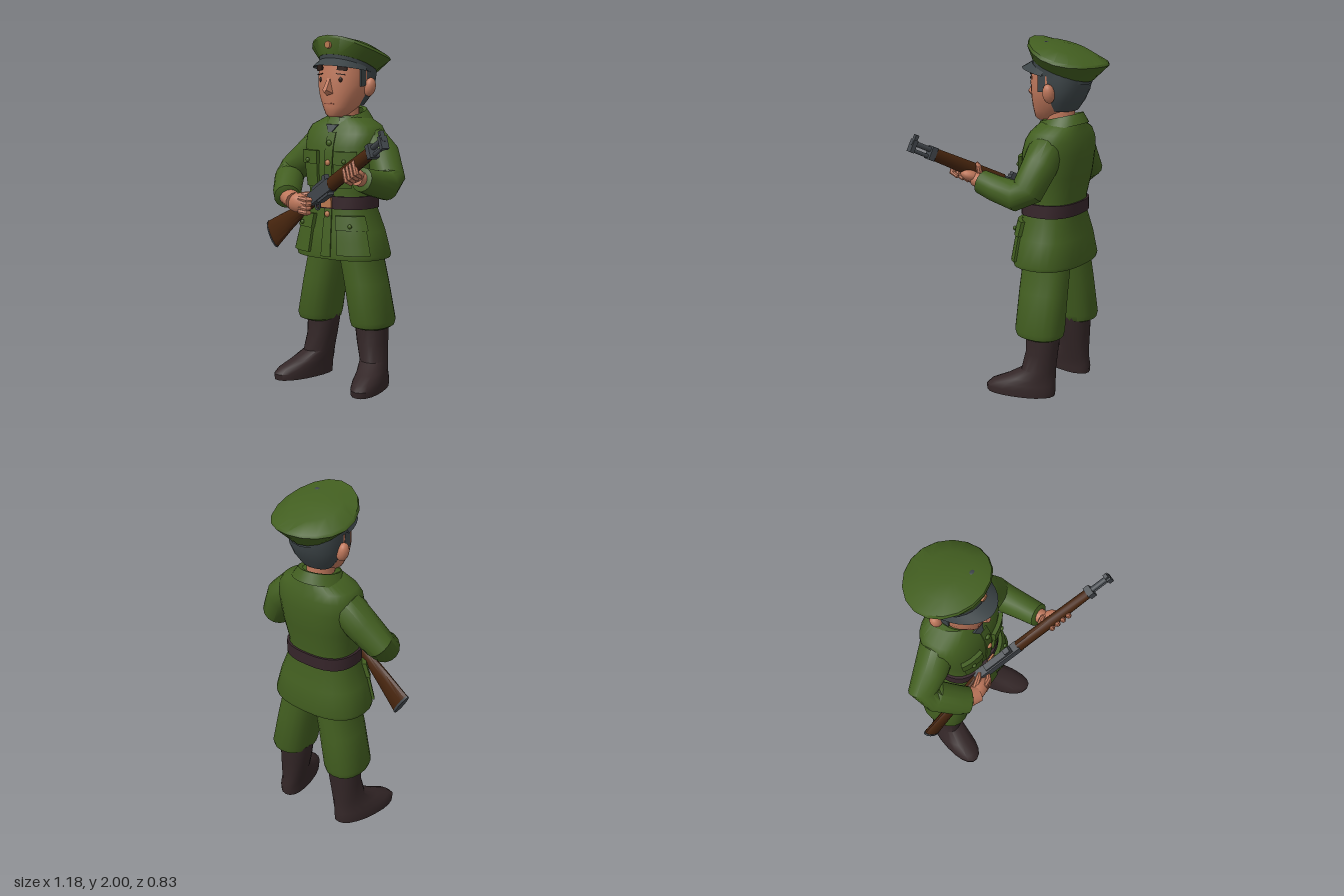
import * as THREE from 'three';
import { toCreasedNormals } from 'three/addons/utils/BufferGeometryUtils.js';
import { ConvexGeometry } from 'three/addons/geometries/ConvexGeometry.js';

const V = (x, y, z) => new THREE.Vector3(x, y, z);
const mat = (name, color, side = THREE.FrontSide) => {
  const m = new THREE.MeshStandardMaterial({ color, side });
  m.name = name;
  return m;
};
const CX = -0.083; // body centre line

// Skin over a list of rings; closed rings get end caps
function loft(rings, closed = true, crease = 0.7) {
  const n = rings[0].length, pos = rings.flat().flatMap(p => [p.x, p.y, p.z]), idx = [];
  for (let i = 0; i < rings.length - 1; i++)
    for (let j = 0; j < (closed ? n : n - 1); j++) {
      const k = (j + 1) % n, a = i * n + j, b = i * n + k;
      idx.push(a, b, b + n, a, b + n, a + n);
    }
  if (closed) [0, rings.length - 1].forEach((i, end) => {
    const c = rings[i].reduce((s, p) => s.add(p), V(0, 0, 0)).divideScalar(n);
    const ci = pos.length / 3;
    pos.push(c.x, c.y, c.z);
    for (let j = 0; j < n; j++) {
      const a = i * n + j, b = i * n + (j + 1) % n;
      idx.push(ci, end ? a : b, end ? b : a);
    }
  });
  const g = new THREE.BufferGeometry();
  g.setAttribute('position', new THREE.Float32BufferAttribute(pos, 3));
  g.setIndex(idx);
  return toCreasedNormals(g, crease);
}
const ring = (n, f, a0 = 0, a1 = Math.PI * 2, open = false) =>
  Array.from({ length: n }, (_, j) => {
    const a = a0 + (a1 - a0) * j / (open ? n - 1 : n);
    return f(Math.sin(a), Math.cos(a));
  });
const sp = (t, e) => Math.sign(t) * Math.abs(t) ** e;

// Upright loft; rows are [y, x centre, half width, front z, back z, x skew]
const upright = (rows, n = 20, e = 1) => loft(rows.map(([y, xc, hx, zf, zb, k = 0]) =>
  ring(n, (s, c) => {
    const dz = sp(c, e) * (zf - zb) / 2;
    return V(CX + xc + hx * sp(s, e) + k * dz, y, (zf + zb) / 2 + dz);
  })));

// Limb along points [x, y, z, radius up, radius across]
function limb(pts, n = 14) {
  const c = pts.map(p => V(p[0], p[1], p[2]));
  let v = null;
  return loft(pts.map((p, i) => {
    const t = c[Math.min(i + 1, c.length - 1)].clone().sub(c[Math.max(i - 1, 0)]).normalize();
    v = v || t.clone().cross(V(0, 1, 0));
    v = v.clone().addScaledVector(t, -v.dot(t)).normalize();
    const u = v.clone().cross(t);
    return ring(n, (s, k) => c[i].clone().addScaledVector(u, k * p[3]).addScaledVector(v, s * (p[4] ?? p[3])));
  }));
}

// Jacket profile: [y, half width, front z, back z]
const COAT = [[0.745, 0.284, 0.065, -0.315], [0.765, 0.289, 0.068, -0.32], [0.9, 0.253, 0.052, -0.3],
  [1.03, 0.203, 0.032, -0.272], [1.12, 0.197, 0.03, -0.274], [1.25, 0.222, 0.036, -0.3],
  [1.38, 0.24, 0.028, -0.312], [1.45, 0.24, 0.004, -0.305], [1.495, 0.215, -0.02, -0.292], [1.55, 0.1, -0.06, -0.275]];
function coatPoint(a, y, off = 0) {
  let i = 0;
  while (i < COAT.length - 2 && y > COAT[i + 1][0]) i++;
  const p = COAT[i], q = COAT[i + 1], t = (y - p[0]) / (q[0] - p[0]);
  const [, hx, zf, zb] = p.map((w, k) => w + (q[k] - w) * t);
  return V(CX + (hx + off) * sp(Math.sin(a), 0.8), y, (zf + zb) / 2 + ((zf - zb) / 2 + off) * sp(Math.cos(a), 0.8));
}
// Raised cloth panel that follows the jacket
function panel(a0, a1, y0, y1, off, rows = 5) {
  const steps = n => [0, ...Array.from({ length: n + 1 }, (_, i) => i / n), 1];
  const us = steps(5), vs = steps(rows);
  return loft(vs.map((v, i) => us.map((u, j) => {
    const rim = i === 0 || j === 0 || i === vs.length - 1 || j === us.length - 1;
    return coatPoint(a0 + (a1 - a0) * u, y0 + (y1 - y0) * v, rim ? -0.01 : off);
  })), false, 0.5);
}

export function createModel() {
  const model = new THREE.Group();
  const green = mat('uniformGreen', 0x425e20, THREE.DoubleSide), skin = mat('skin', 0xbf785c);
  const grey = mat('slateGrey', 0x3d4548, THREE.DoubleSide), boot = mat('bootBrown', 0x332627);
  const leather = mat('beltBrown', 0x36252a), wood = mat('wood', 0x47250e), metal = mat('gunMetal', 0x42474c);
  const copper = mat('copper', 0xb87850), dark = mat('darkBrown', 0x2a1a14), lip = mat('lip', 0x9c5845);
  const add = (name, geo, m, p, parent = model) => {
    const mesh = new THREE.Mesh(geo, m);
    mesh.name = name;
    if (p) mesh.position.set(...p);
    parent.add(mesh);
    return mesh;
  };
  const ball = (name, m, p, s, rot = [0, 0, 0]) => {
    const o = add(name, new THREE.SphereGeometry(1, 14, 10), m, p);
    o.scale.set(...s);
    o.rotation.set(...rot);
    return o;
  };

  // Jacket, belt and front closing
  add('jacket', upright(COAT.map(([y, h, f, b]) => [y, 0, h, f, b]), 28, 0.8), green);
  add('belt', upright([[1.03, 0, 0.213, 0.044, -0.283], [1.102, 0, 0.211, 0.044, -0.285]], 28, 0.8), leather);
  add('buckle', new THREE.BoxGeometry(0.07, 0.06, 0.012), copper, [CX + 0.01, 1.066, 0.047]);
  add('frontPlacket', panel(-0.02, 0.12, 0.76, 1.46, 0.007, 14), green);
  [[1.4, green], [1.29, copper], [1, copper]].forEach(([y, m]) =>
    ball('jacketButton', m, coatPoint(0.03, y, 0.01).toArray(), [0.017, 0.017, 0.012]));
  for (const s of [-1, 1]) {
    const span = (a, b) => s > 0 ? [a, b] : [-b, -a];
    add('chestPocket', panel(...span(0.18, 0.74), 1.15, 1.33, 0.014), green);
    add('chestPocketFlap', panel(...span(0.16, 0.77), 1.28, 1.355, 0.022), green);
    add('skirtPocket', panel(...span(0.26, 1.1), 0.775, 0.96, 0.014), green);
    add('skirtPocketFlap', panel(...span(0.24, 1.15), 0.915, 0.995, 0.022), green);
    ball('pocketButton', green, coatPoint(s * 0.44, 1.3, 0.026).toArray(), [0.013, 0.013, 0.01]);
    ball('pocketButton', green, coatPoint(s * 0.62, 0.94, 0.026).toArray(), [0.013, 0.013, 0.01]);
  }

  // Collar with open wings (rows: half width, half depth, y, drop, front gap) and shirt
  add('collar', loft([[0.15, 0.15, 1.508, 0.035, 0.3], [0.108, 0.122, 1.568, 0.03, 0.3], [0.085, 0.1, 1.56, 0.03, 0.45]]
    .map(([hx, hz, y, d, gap]) => ring(24, (s, c) => V(CX + hx * s, y - d * c, -0.158 + hz * c), gap, Math.PI * 2 - gap, true)), false), green);
  add('shirtFront', new ConvexGeometry([V(CX - 0.05, 1.505, -0.05), V(CX + 0.05, 1.505, -0.05), V(CX, 1.44, 0.014),
    V(CX - 0.04, 1.5, -0.016), V(CX + 0.04, 1.5, -0.016), V(CX, 1.46, -0.05)]), grey);

  // Legs and boots
  for (const s of [-1, 1]) {
    const leg = [[0.34, 0.19, 0.09, -0.04, -0.25], [0.352, 0.192, 0.108, -0.012, -0.275],
      [0.385, 0.192, 0.117, 0, -0.284], [0.6, 0.15, 0.114, 0, -0.278], [0.72, 0.122, 0.113, 0, -0.275], [0.82, 0.11, 0.117, 0, -0.27]];
    add('trouserLeg', upright(leg.map(([y, xc, ...r]) => [y, s * xc + 0.007, ...r]), 18, 0.85), green);
    const k = s * 0.22;
    add('boot', upright([[0, s * 0.244, 0.086, 0.145, -0.24, k], [0.035, s * 0.244, 0.088, 0.15, -0.243, k],
      [0.065, s * 0.238, 0.085, 0.12, -0.24, k], [0.1, s * 0.222, 0.082, 0.04, -0.237, k], [0.15, s * 0.202, 0.078, -0.045, -0.236, k / 2],
      [0.25, s * 0.185, 0.086, -0.06, -0.242], [0.37, s * 0.174, 0.095, -0.06, -0.25]].map(([y, xc, ...r]) => [y, xc + 0.006, ...r]), 20, 0.9), boot);
  }

  // Sleeves
  add('rightSleeve', limb([[-0.2, 1.395, -0.155, 0.085], [-0.265, 1.385, -0.155, 0.1], [-0.355, 1.3, -0.135, 0.094],
    [-0.455, 1.222, -0.12, 0.084], [-0.438, 1.175, -0.06, 0.086], [-0.37, 1.105, 0.04, 0.082],
    [-0.335, 1.082, 0.08, 0.076], [-0.33, 1.078, 0.085, 0.05]], 16), green);
  add('leftSleeve', limb([[0.04, 1.4, -0.155, 0.085], [0.1, 1.39, -0.16, 0.1], [0.162, 1.33, -0.165, 0.098],
    [0.231, 1.205, -0.13, 0.092], [0.249, 1.173, -0.07, 0.083], [0.252, 1.2, 0.06, 0.073],
    [0.25, 1.225, 0.15, 0.067], [0.25, 1.227, 0.157, 0.045]], 16), green);

  // Neck, head and hair
  add('neck', upright([[1.48, 0, 0.07, -0.07, -0.23], [1.64, 0, 0.075, -0.07, -0.23]], 16), skin);
  add('head', upright([[1.542, 0, 0.035, -0.012, -0.1], [1.558, 0, 0.062, 0.002, -0.14], [1.6, 0, 0.094, 0.008, -0.21],
    [1.66, 0, 0.128, 0.012, -0.255], [1.72, 0, 0.145, 0.014, -0.285], [1.78, 0, 0.147, 0.012, -0.3],
    [1.86, 0, 0.144, 0, -0.3]], 24, 0.92), skin);
  add('hair', upright([[1.605, 0, 0.09, -0.12, -0.24], [1.66, 0, 0.128, -0.09, -0.277], [1.72, 0, 0.148, -0.065, -0.305],
    [1.78, 0, 0.153, -0.06, -0.318], [1.83, 0, 0.153, -0.06, -0.32]], 24, 0.92), grey);
  add('nose', new ConvexGeometry([V(CX - 0.009, 1.765, 0.009), V(CX + 0.009, 1.765, 0.009), V(CX - 0.028, 1.675, 0.008),
    V(CX + 0.028, 1.675, 0.008), V(CX - 0.014, 1.695, 0.052), V(CX + 0.014, 1.695, 0.052), V(CX, 1.68, 0.055), V(CX, 1.663, 0.03)]), skin);
  add('mouth', new THREE.BoxGeometry(0.065, 0.006, 0.008), lip, [CX, 1.618, 0.008]);
  for (const s of [-1, 1]) {
    ball('ear', skin, [CX + s * 0.155, 1.71, -0.165], [0.033, 0.054, 0.034], [0, 0, -s * 0.25]);
    add('sideburn', new THREE.BoxGeometry(0.012, 0.1, 0.045), grey, [CX + s * 0.143, 1.765, -0.115]);
    ball('eye', dark, [CX + s * 0.07, 1.752, -0.005], [0.011, 0.015, 0.007], [0, s * 0.4, 0]);
    const lid = add('eyelid', new THREE.BoxGeometry(0.055, 0.005, 0.008), dark, [CX + s * 0.072, 1.782, -0.004]);
    lid.rotation.set(0, s * 0.4, -s * 0.12);
    const brow = add('eyebrow', new THREE.BoxGeometry(0.058, 0.03, 0.009), dark, [CX + s * 0.078, 1.817, -0.009]);
    brow.rotation.set(0, s * 0.42, -s * 0.1);
  }

  // Peaked cap: rings are [half width, centre z, half depth, y, tilt, extra front rise]
  const capRing = ([hx, cz, hz, y, t, r = 0]) => ring(18, (s, c) => V(CX + hx * s, y + t * c + r * c * c, cz + hz * c));
  add('capBand', loft([[0.155, -0.16, 0.165, 1.798, 0.043], [0.157, -0.16, 0.168, 1.845, 0.06]].map(capRing)), grey);
  add('capCrown', loft([[0.16, -0.163, 0.172, 1.832, 0.062], [0.229, -0.197, 0.222, 1.884, 0.065, 0.036],
    [0.22, -0.197, 0.216, 1.902, 0.066, 0.031], [0.14, -0.19, 0.14, 1.945, 0.042], [0.05, -0.19, 0.05, 1.957, 0.014]].map(capRing)), green);
  add('capVisor', loft([[0.158, 0.168, 1.812, 0.06], [0.165, 0.24, 1.795, 0.037], [0.155, 0.165, 1.798, 0.045]].map(([hx, hz, y, t]) =>
    ring(15, (s, c) => V(CX + hx * s, y + t * c, -0.16 + hz * c), -1.4, 1.4, true)), false), grey);
  add('capBadge', new THREE.CylinderGeometry(0.019, 0.022, 0.014, 12), copper, [CX, 1.945, 0.02]).rotation.x = Math.PI / 2;
  ball('capSpot', grey, [-0.012, 1.966, -0.095], [0.025, 0.012, 0.018], [-0.25, 0, -0.2]);

  // Rifle, built along its own x axis
  const rifle = new THREE.Group();
  rifle.name = 'rifle';
  const ax = V(0.75, 0.39, 0.34).normalize(), az = ax.clone().cross(V(0, 1, 0)).normalize();
  rifle.quaternion.setFromRotationMatrix(new THREE.Matrix4().makeBasis(ax, az.clone().cross(ax), az));
  rifle.position.set(-0.178, 1.07, 0.05);
  model.add(rifle);
  const box = (name, m, x0, x1, y0, y1, w) =>
    add(name, new THREE.BoxGeometry(x1 - x0, y1 - y0, w), m, [(x0 + x1) / 2, (y0 + y1) / 2, 0], rifle);
  const rod = (name, m, x0, x1, y, r) =>
    add(name, new THREE.CylinderGeometry(r, r, x1 - x0, 10), m, [(x0 + x1) / 2, y, 0], rifle).rotation.z = Math.PI / 2;
  box('receiver', metal, -0.02, 0.28, -0.035, 0.035, 0.05);
  box('receiverTop', metal, 0.06, 0.24, 0.03, 0.055, 0.036);
  box('magazine', metal, 0.1, 0.24, -0.05, -0.03, 0.04);
  box('rearSight', metal, 0.2, 0.235, 0.05, 0.072, 0.03);
  add('triggerGuard', new THREE.TorusGeometry(0.03, 0.006, 6, 14), metal, [0.06, -0.045, 0], rifle);
  ball('boltKnob', metal, [-0.05, 1.145, 0.12], [0.014, 0.014, 0.014]);
  add('foreStock', limb([[0.275, 0, 0, 0.042, 0.03], [0.5, 0, 0, 0.04, 0.03], [0.77, 0, 0, 0.034, 0.026]], 12), wood, null, rifle);
  box('frontBand', metal, 0.75, 0.785, -0.037, 0.037, 0.056);
  rod('barrel', metal, 0.77, 0.905, 0.016, 0.015);
  rod('cleaningRod', metal, 0.77, 0.9, -0.022, 0.011);
  box('muzzleBlock', metal, 0.878, 0.903, -0.036, 0.034, 0.042);
  box('frontSight', metal, 0.88, 0.9, 0.03, 0.062, 0.024);
  add('buttStock', limb([[-0.54, 0.832, -0.028, 0.086, 0.025], [-0.4, 0.922, 0.002, 0.06, 0.026],
    [-0.27, 1.003, 0.028, 0.036, 0.026], [-0.16, 1.075, 0.05, 0.034, 0.025]], 12), wood);
  add('buttPlate', limb([[-0.548, 0.827, -0.0297, 0.087, 0.026], [-0.538, 0.8333, -0.0275, 0.088, 0.027]], 12), metal);

  // Hands
  add('leftWrist', limb([[0.25, 1.222, 0.13, 0.042], [0.252, 1.235, 0.2, 0.038]], 12), skin);
  ball('leftPalm', skin, [0.255, 1.25, 0.222], [0.06, 0.032, 0.052], [0, -0.4, 0.4]);
  add('rightWrist', limb([[-0.34, 1.085, 0.07, 0.052], [-0.27, 1.065, 0.1, 0.05]], 12), skin);
  ball('rightPalm', skin, [-0.25, 1.055, 0.09], [0.09, 0.056, 0.044], [0, 0, -0.1]);
  for (let i = 0; i < 4; i++) {
    const x = 0.215 + i * 0.031, y = 1.27 + (x - 0.25) * 0.52, z = 0.234 + (x - 0.25) * 0.45;
    add('leftFinger', limb([[x + 0.015, y - 0.045, z, 0.012], [x + 0.014, y - 0.028, z + 0.036, 0.017],
      [x - 0.002, y + 0.03, z + 0.035, 0.015], [x - 0.004, y + 0.042, z + 0.034, 0.007]], 8), skin);
    const h = 1.085 - i * 0.025;
    add('rightFinger', limb([[-0.22, h, 0.112, 0.016], [-0.17, h - 0.006, 0.106, 0.017],
      [-0.148 - i * 0.006, h - 0.008, 0.085, 0.012]], 8), skin);
  }
  add('leftThumb', limb([[0.21, 1.25, 0.19, 0.018], [0.225, 1.305, 0.19, 0.015], [0.23, 1.325, 0.198, 0.007]], 8), skin);
  add('rightThumb', limb([[-0.27, 1.085, 0.08, 0.02], [-0.2, 1.105, 0.06, 0.016], [-0.175, 1.108, 0.05, 0.008]], 8), skin);
  return model;
}
